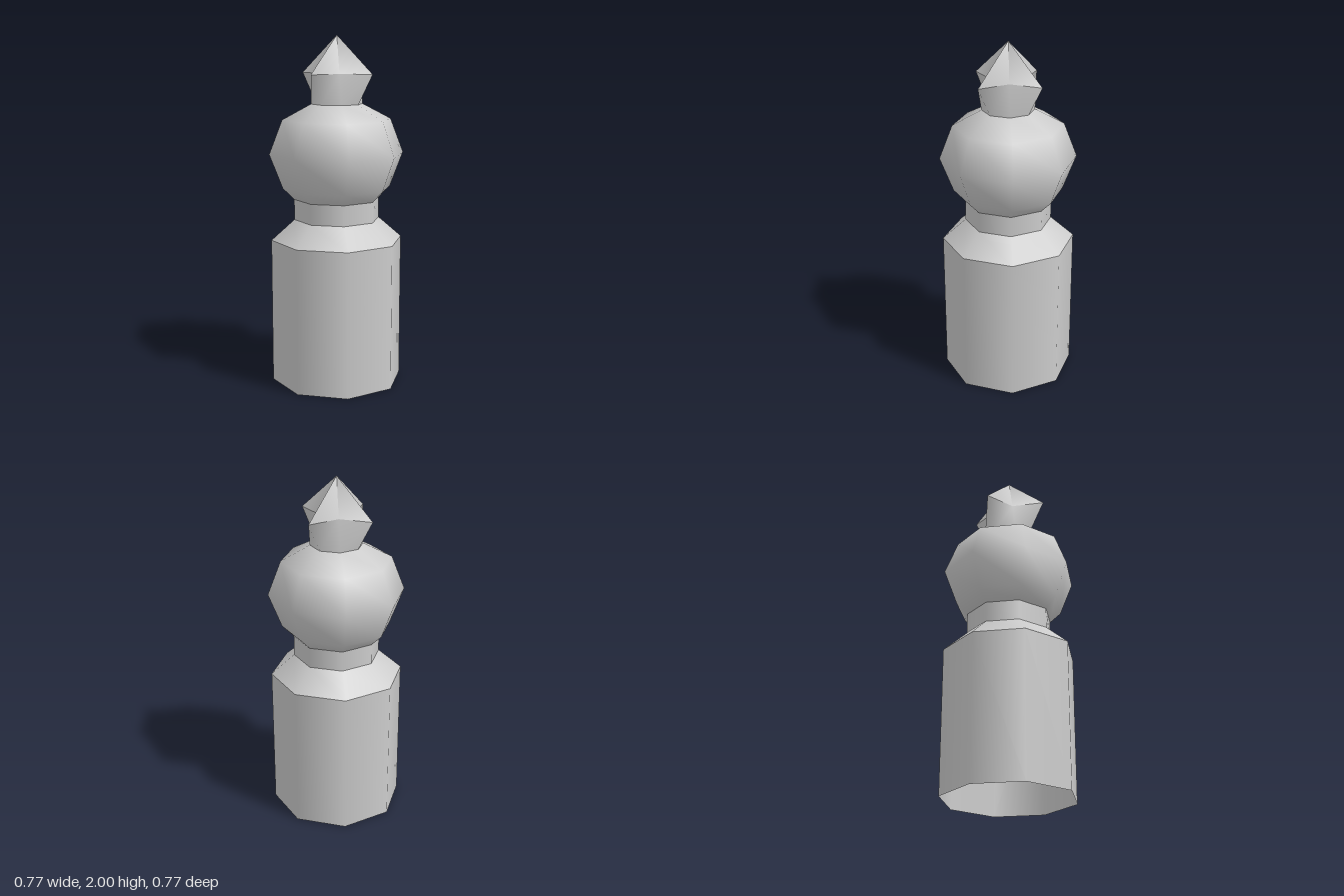
import * as THREE from 'three';

const SIDES = 8;
const material = new THREE.MeshStandardMaterial({ color: 0xcccccc, side: THREE.DoubleSide });

// Eight-sided turned part from [radius, height] pairs, bottom to top
function turned(name, profile) {
  const points = profile.map(([r, y]) => new THREE.Vector2(r, y));
  const mesh = new THREE.Mesh(new THREE.LatheGeometry(points, SIDES), material);
  mesh.name = name;
  return mesh;
}

// Smooth skin between two rings; each ring is a radius rule plus a height
function loft(name, [lowRadius, lowY], [highRadius, highY]) {
  const positions = [], index = [];
  for (const [radius, y] of [[lowRadius, lowY], [highRadius, highY]]) {
    for (let i = 0; i < SIDES; i++) {
      const a = (i / SIDES) * Math.PI * 2;
      positions.push(radius(i) * Math.cos(a), y, radius(i) * Math.sin(a));
    }
  }
  for (let i = 0; i < SIDES; i++) {
    const j = (i + 1) % SIDES;
    index.push(i, i + SIDES, j, j, i + SIDES, j + SIDES);
  }
  const geometry = new THREE.BufferGeometry();
  geometry.setAttribute('position', new THREE.Float32BufferAttribute(positions, 3));
  geometry.setIndex(index);
  geometry.computeVertexNormals();
  const mesh = new THREE.Mesh(geometry, material);
  mesh.name = name;
  return mesh;
}

export function createModel() {
  const model = new THREE.Group();
  model.name = 'figurine';

  // Hollow body, open underneath, with sloping shoulders and a neck
  model.add(turned('body', [[0.38, 0], [0.38, 0.84]]));
  model.add(turned('shoulders', [[0.38, 0.84], [0.247, 0.957]]));
  model.add(turned('neck', [[0.247, 0.957], [0.247, 1.075]]));

  // Rounded head
  model.add(turned('head', [[0.247, 1.075], [0.312, 1.14], [0.387, 1.336], [0.312, 1.53], [0.148, 1.617]]));

  // Crown: octagonal foot flaring to a four-pointed star, then a pointed top
  const star = (i) => (i % 2 ? 0.091 : 0.242);
  const crown = new THREE.Group();
  crown.name = 'crown';
  crown.add(loft('crownBase', [() => 0.148, 1.617], [star, 1.787]));
  crown.add(loft('crownPoint', [star, 1.787], [() => 0, 2]));
  model.add(crown);

  return model;
}
